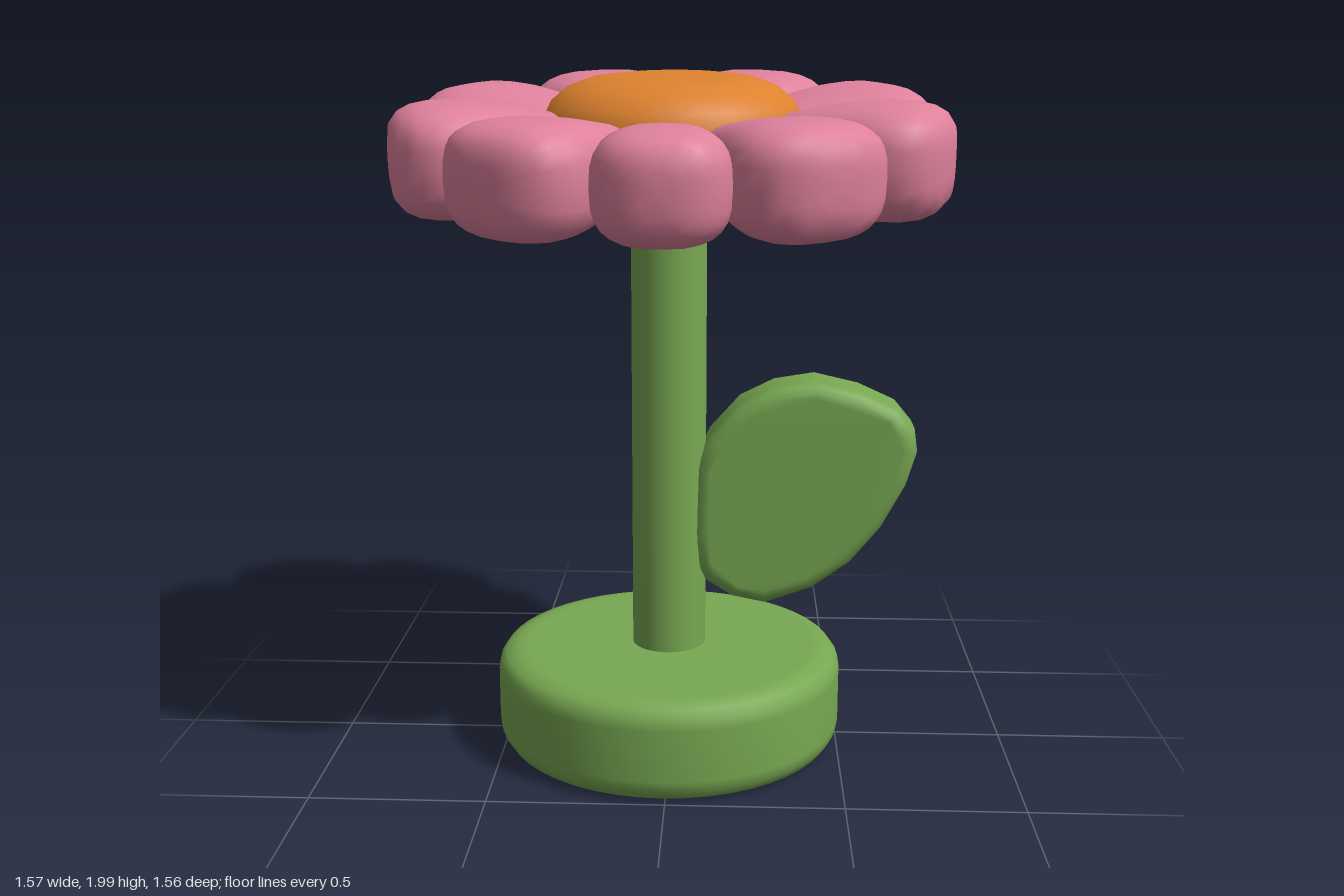
import * as THREE from 'three';
import { mergeVertices } from 'three/addons/utils/BufferGeometryUtils.js';

const mat = (name, color) => {
  const m = new THREE.MeshStandardMaterial({ color });
  m.name = name;
  return m;
};

const lathe = (pts, segments) =>
  new THREE.LatheGeometry(pts.map(([r, y]) => new THREE.Vector2(r, y)), segments);

// Puffy petal pointing along +z: rounded sections that fan out, then close at the tip
function petalGeometry(halfAngle, reach, puff) {
  const rings = [ // distance from centre, share of fan width, half thickness
    [0.25, 1, 0.08], [0.34, 1, 0.112], [0.46, 1.01, 0.136], [0.55, 1.01, 0.148], [0.62, 0.99, 0.152],
    [0.68, 0.9, 0.151], [0.73, 0.76, 0.143], [0.765, 0.6, 0.128], [0.79, 0.4, 0.1], [0.798, 0.2, 0.055],
  ];
  const n = 28, pos = [], idx = [];
  const soft = (v) => Math.sign(v) * Math.pow(Math.abs(v), 0.68);
  for (const [r, share, h] of rings) {
    const w = r * Math.tan(halfAngle) * share;
    for (let j = 0; j < n; j++) {
      const a = (j / n) * Math.PI * 2;
      pos.push(w * soft(Math.cos(a)), h * puff * soft(Math.sin(a)), r * reach);
    }
  }
  for (let i = 0; i < rings.length - 1; i++) {
    for (let j = 0; j < n; j++) {
      const a = i * n + j, b = i * n + (j + 1) % n;
      idx.push(a, b, a + n, b, b + n, a + n);
    }
  }
  const last = (rings.length - 1) * n, tip = pos.length / 3;
  pos.push(0, 0, 0.8 * reach);
  for (let j = 0; j < n; j++) idx.push(tip, last + j, last + (j + 1) % n);
  const g = new THREE.BufferGeometry();
  g.setAttribute('position', new THREE.Float32BufferAttribute(pos, 3));
  g.setIndex(idx);
  g.computeVertexNormals();
  return g;
}

// Thick leaf slab with rounded edges
function leafGeometry() {
  const outline = [
    [0.06, 0.65], [0.07, 0.85], [0.11, 0.94], [0.2, 1.04], [0.3, 1.09], [0.42, 1.11],
    [0.55, 1.08], [0.66, 1.03], [0.71, 0.97], [0.72, 0.9], [0.69, 0.8], [0.62, 0.67],
    [0.53, 0.56], [0.42, 0.48], [0.28, 0.43], [0.18, 0.45], [0.1, 0.5], [0.075, 0.55],
  ].reverse();
  const shape = new THREE.Shape(outline.map(([x, y]) => new THREE.Vector2(x, y)));
  let g = new THREE.ExtrudeGeometry(shape, {
    depth: 0.12, bevelThickness: 0.05, bevelSize: 0.045, bevelOffset: -0.045, bevelSegments: 4,
  });
  g.translate(0, 0, -0.1);
  g.deleteAttribute('uv');
  g.deleteAttribute('normal');
  g = mergeVertices(g, 1e-4);
  g.computeVertexNormals();
  return g;
}

export function createModel() {
  const green = mat('leaf green', 0x78a852);
  const pink = mat('petal pink', 0xdf819c);
  const orange = mat('centre orange', 0xdd822f);
  const model = new THREE.Group();
  model.name = 'flower';
  const add = (parent, name, geometry, material, x = 0, y = 0, z = 0) => {
    const mesh = new THREE.Mesh(geometry, material);
    mesh.name = name;
    mesh.position.set(x, y, z);
    parent.add(mesh);
    return mesh;
  };

  // Round foot with a small recess underneath
  add(model, 'base', lathe([
    [0.07, 0.06], [0.1, 0.025], [0.2, 0.01], [0.43, 0], [0.46, 0], [0.495, 0.012], [0.513, 0.04], [0.518, 0.07],
    [0.518, 0.22], [0.513, 0.25], [0.495, 0.275], [0.46, 0.287], [0.43, 0.288], [0.2, 0.288], [0.1, 0.292],
  ], 48), green, -0.01, 0, -0.01);

  add(model, 'stem', new THREE.CylinderGeometry(0.11, 0.11, 1.62, 32), green, -0.01, 0.85, -0.01);
  add(model, 'leaf', leafGeometry(), green);

  // Flower head, tipped toward the front
  const head = new THREE.Group();
  head.name = 'flowerHead';
  head.position.y = 1.77;
  head.rotation.x = 0.095;
  model.add(head);

  add(head, 'flowerCentre', lathe([
    [0, -0.16], [0.17, -0.16], [0.22, -0.148], [0.3, -0.09], [0.355, -0.02], [0.37, 0.04], [0.368, 0.09],
    [0.345, 0.135], [0.3, 0.172], [0.24, 0.195], [0.17, 0.204], [0, 0.206],
  ], 40), orange, 0, 0, -0.03);

  // Petals: direction from the front, half width of fan (degrees), reach
  const petals = [[0, 16, 0.975], [34, 19, 0.99], [72.5, 19.8, 0.995], [114.5, 22.3, 0.97], [158.3, 21.7, 1]];
  petals.forEach(([angle, half, reach], i) => {
    const g = petalGeometry(THREE.MathUtils.degToRad(half), reach, 0.97 + 0.03 * i);
    for (const side of i ? [1, -1] : [1]) {
      const name = i ? `petal${i}${side > 0 ? 'Left' : 'Right'}` : 'frontPetal';
      add(head, name, g, pink).rotation.y = side * THREE.MathUtils.degToRad(angle);
    }
  });
  return model;
}
